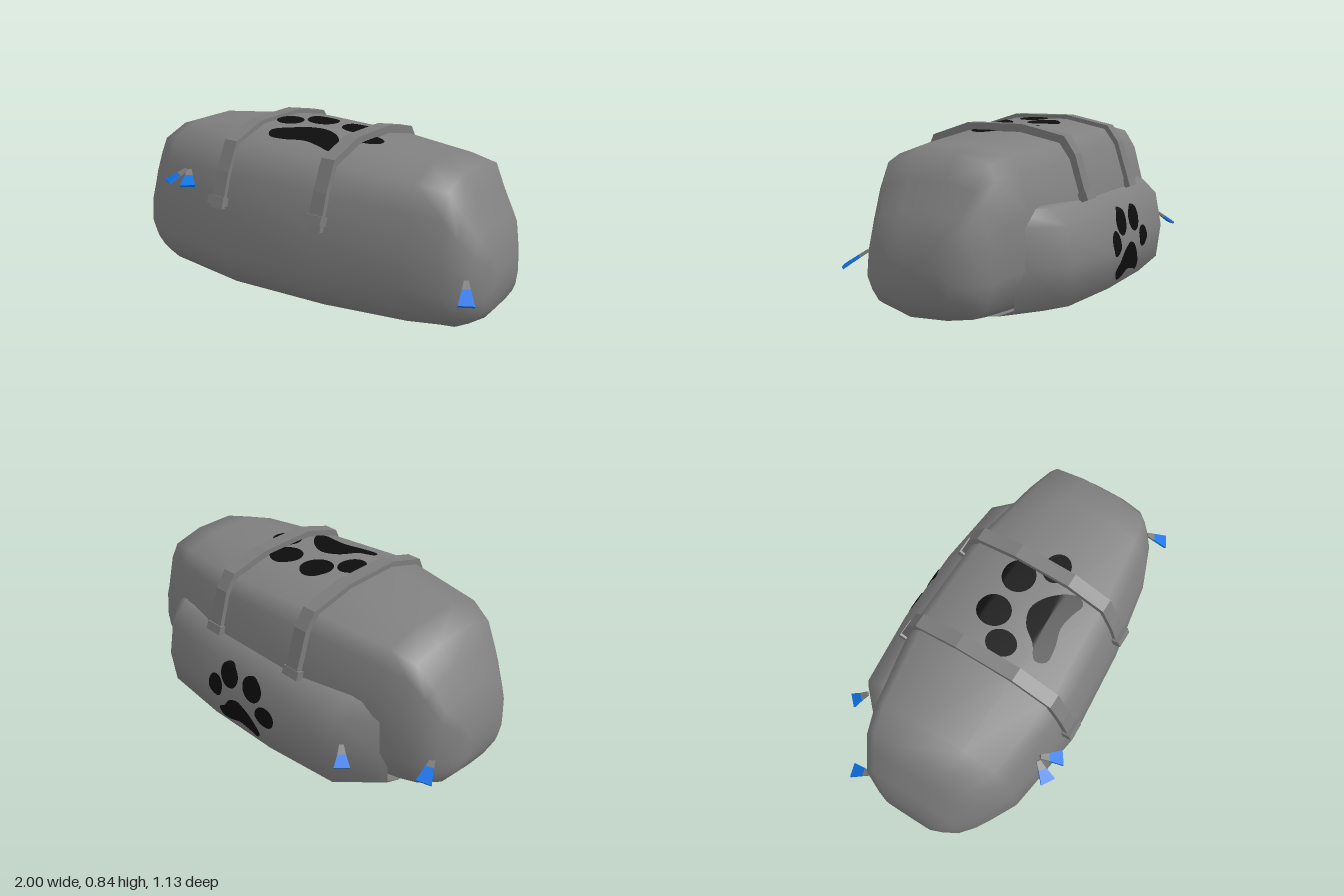
import * as THREE from 'three';

const mat = (name, color, side = THREE.FrontSide) => {
  const m = new THREE.MeshStandardMaterial({ color, side });
  m.name = name;
  return m;
};

// Skin over rows of points; closed rows are capped at both ends
function loft(rows, closed) {
  const n = rows[0].length, pos = rows.flat(2), index = [];
  for (let i = 0; i < rows.length - 1; i++) {
    for (let j = 0; j < (closed ? n : n - 1); j++) {
      const k = (j + 1) % n, a = i * n + j, d = i * n + k;
      index.push(a, a + n, d, a + n, d + n, d);
    }
  }
  if (closed) {
    [0, rows.length - 1].forEach((r) => {
      const c = pos.length / 3;
      for (let axis = 0; axis < 3; axis++) pos.push(rows[r].reduce((s, p) => s + p[axis], 0) / n);
      for (let j = 0; j < n; j++) {
        const a = r * n + j, b = r * n + (j + 1) % n;
        index.push(c, r ? b : a, r ? a : b);
      }
    });
  }
  const g = new THREE.BufferGeometry();
  g.setAttribute('position', new THREE.Float32BufferAttribute(pos, 3));
  g.setIndex(index);
  g.computeVertexNormals();
  return g;
}

// Body cross-section (z, y), front bottom over the top to the back
const PROFILE = [[0.19, 0], [0.42, 0.06], [0.48, 0.14], [0.525, 0.25], [0.505, 0.46], [0.45, 0.62],
  [0.385, 0.75], [0.19, 0.81], [-0.1, 0.81], [-0.315, 0.765], [-0.37, 0.69], [-0.43, 0.5],
  [-0.45, 0.25], [-0.4, 0.1], [-0.3, 0.04], [-0.1, 0.01]];
// x, back z, front z, bottom y, top y
const STATIONS = [
  [-1, -0.1, 0.16, 0.2, 0.33], [-0.98, -0.16, 0.21, 0.14, 0.44], [-0.94, -0.25, 0.28, 0.085, 0.52],
  [-0.87, -0.29, 0.34, 0.04, 0.64], [-0.8, -0.33, 0.385, 0.03, 0.74], [-0.68, -0.37, 0.45, 0.028, 0.78],
  [-0.25, -0.45, 0.515, 0.008, 0.82], [0.25, -0.45, 0.478, 0.003, 0.79], [0.66, -0.37, 0.41, 0.015, 0.755],
  [0.8, -0.33, 0.355, 0.02, 0.73], [0.86, -0.29, 0.325, 0.025, 0.62], [0.93, -0.25, 0.285, 0.07, 0.5],
  [0.97, -0.16, 0.21, 0.12, 0.42], [0.99, -0.1, 0.16, 0.2, 0.32]];
const section = ([, z0, z1, y0, y1]) => PROFILE.map(([z, y]) => [
  z0 + (z1 - z0) * (z + 0.45) / 0.975, y0 + (y1 - y0) * y / 0.81]);

// Paw blobs in flat coordinates: four toes and a pad
const oval = (cx, cy, rx, ry) => ({
  c: [cx, cy],
  pts: Array.from({ length: 40 }, (_, i) => {
    const t = i / 40 * Math.PI * 2;
    return [cx + rx * Math.cos(t), cy + ry * Math.sin(t)];
  })
});
const padCurve = new THREE.CatmullRomCurve3([[0.04, 0.07], [0.12, 0.1], [0.19, 0.17], [0.222, 0.23], [0.2, 0.265],
  [0.13, 0.25], [0.04, 0.238], [-0.06, 0.265], [-0.14, 0.268], [-0.165, 0.22], [-0.1, 0.17], [-0.04, 0.1]]
  .map(([x, y]) => new THREE.Vector3(x, y, 0)), true);
const PAW = [oval(-0.175, 0.05, 0.065, 0.075), oval(-0.055, -0.065, 0.08, 0.083),
  oval(0.155, -0.06, 0.085, 0.08), oval(0.285, 0.07, 0.08, 0.065),
  { c: [0.03, 0.17], pts: padCurve.getSpacedPoints(48).slice(0, 48).map((p) => [p.x, p.y]) }];

export function createModel() {
  const model = new THREE.Group();
  model.name = 'duffelBag';
  const fabric = mat('greyFabric', 0x808080);
  const pocketFabric = mat('greyPocketFabric', 0x808080, THREE.DoubleSide);
  const webbing = mat('greyWebbing', 0x7c7c7c);
  const blue = mat('blueTab', 0x0f75ea);
  const black = mat('blackPrint', 0x0d0d0d, THREE.DoubleSide);
  const add = (name, geo, material, parent = model) => {
    const m = new THREE.Mesh(geo, material);
    m.name = name;
    parent.add(m);
    return m;
  };

  // Bag body
  const body = add('body', loft(STATIONS.map((s) => section(s).map(([z, y]) => [s[0], y, z])), true), fabric);

  // Back pocket, tapering into the body at both sides
  const pocketProfile = [[-0.4, 0.5], [-0.435, 0.49], [-0.515, 0.42], [-0.55, 0.25], [-0.525, 0.075], [-0.4, 0.04], [-0.15, 0.025]];
  const pocketRows = [[-0.75, 0.6], [-0.72, 0.66], [-0.57, 0.93], [-0.2, 1], [0.2, 1], [0.56, 0.93], [0.7, 0.66], [0.73, 0.6]]
    .map(([x, k]) => pocketProfile.map(([z, y]) => [x, y, z * k]));
  const pocket = add('backPocket', loft(pocketRows, false), pocketFabric);

  // Carry straps with end buckles
  [[-0.272, STATIONS[6], 1.045], [0.257, STATIONS[7], 1.085]].forEach(([x, station, lift], i) => {
    const strap = new THREE.Group();
    strap.name = i ? 'leftStrap' : 'rightStrap';
    model.add(strap);
    const path = section(station).slice(4, 12);
    const grow = (k) => path.map(([z, y]) => new THREE.Vector2(0.03 + (z - 0.03) * Math.min(k, 1.045), 0.4 + (y - 0.4) * k));
    const shape = new THREE.Shape([...grow(lift), ...grow(0.96).reverse()]);
    const geo = new THREE.ExtrudeGeometry(shape, { depth: 0.07, bevelEnabled: false });
    geo.rotateY(-Math.PI / 2).translate(x + 0.035, 0, 0);
    add('webbing', geo, webbing, strap);
    [path[0][0], path[7][0]].forEach((z) => {
      const buckle = add('buckle', new THREE.BoxGeometry(0.092, 0.042, 0.05), webbing, strap);
      buckle.position.set(x, 0.505, z + Math.sign(z) * 0.002);
      buckle.rotation.x = -Math.sign(z) * 0.35;
    });
  });

  // Zip pulls: a narrow grey neck and a flared blue tab
  const trapezoid = (y0, w0, y1, w1) => new THREE.ExtrudeGeometry(new THREE.Shape([[-w0, y0], [-w1, y1], [w1, y1], [w0, y0]]
    .map(([a, b]) => new THREE.Vector2(a, b))), { depth: 0.012, bevelEnabled: false }).translate(0, 0, -0.006);
  [[[-0.505, 0.61, 0.455], [-0.555, 0.56, 0.54]], [[-0.485, 0.61, 0.455], [-0.425, 0.56, 0.54]],
    [[0.915, 0.31, 0.285], [0.965, 0.24, 0.38]], [[-0.61, 0.31, -0.475], [-0.67, 0.25, -0.535]],
    [[-0.93, 0.28, -0.235], [-0.96, 0.22, -0.335]]].forEach(([base, tip]) => {
    const b = new THREE.Vector3(...base), t = new THREE.Vector3(...tip);
    const len = b.distanceTo(t), up = b.clone().sub(t).normalize();
    const side = up.clone().cross(new THREE.Vector3(0, 1, 0)).normalize();
    const pull = new THREE.Group();
    pull.name = 'zipPull';
    pull.applyMatrix4(new THREE.Matrix4().makeBasis(side, up, side.clone().cross(up)).setPosition(b));
    add('neck', trapezoid(0, 0.01, -0.045, 0.019), webbing, pull);
    add('tab', trapezoid(-0.045, 0.019, -len, 0.036), blue, pull);
    model.add(pull);
  });

  // Paw prints laid onto the surface of the fabric
  const caster = new THREE.Raycaster();
  const print = (name, origin, dir) => {
    const group = new THREE.Group();
    group.name = name;
    model.add(group);
    PAW.forEach(({ c, pts }, i) => {
      const rows = [];
      for (let r = 0; r <= 8; r++) {
        const k = Math.max(r / 8, 0.001);
        rows.push([...pts, pts[0]].map(([px, py]) => {
          const o = origin(c[0] + (px - c[0]) * k, c[1] + (py - c[1]) * k);
          caster.set(o, dir);
          const hit = caster.intersectObjects([body, pocket])[0];
          return (hit ? hit.point : o).clone().addScaledVector(dir, -0.005).toArray();
        }));
      }
      add(i < 4 ? 'toe' : 'pad', loft(rows, false), black, group);
    });
  };
  print('topPaw', (x, z) => new THREE.Vector3(x, 2, z), new THREE.Vector3(0, -1, 0));
  print('backPaw', (x, y) => new THREE.Vector3(-0.02 - (x - 0.06) * 0.75, 0.26 - (y - 0.07) * 0.8, -2), new THREE.Vector3(0, 0, 1));

  return model;
}
